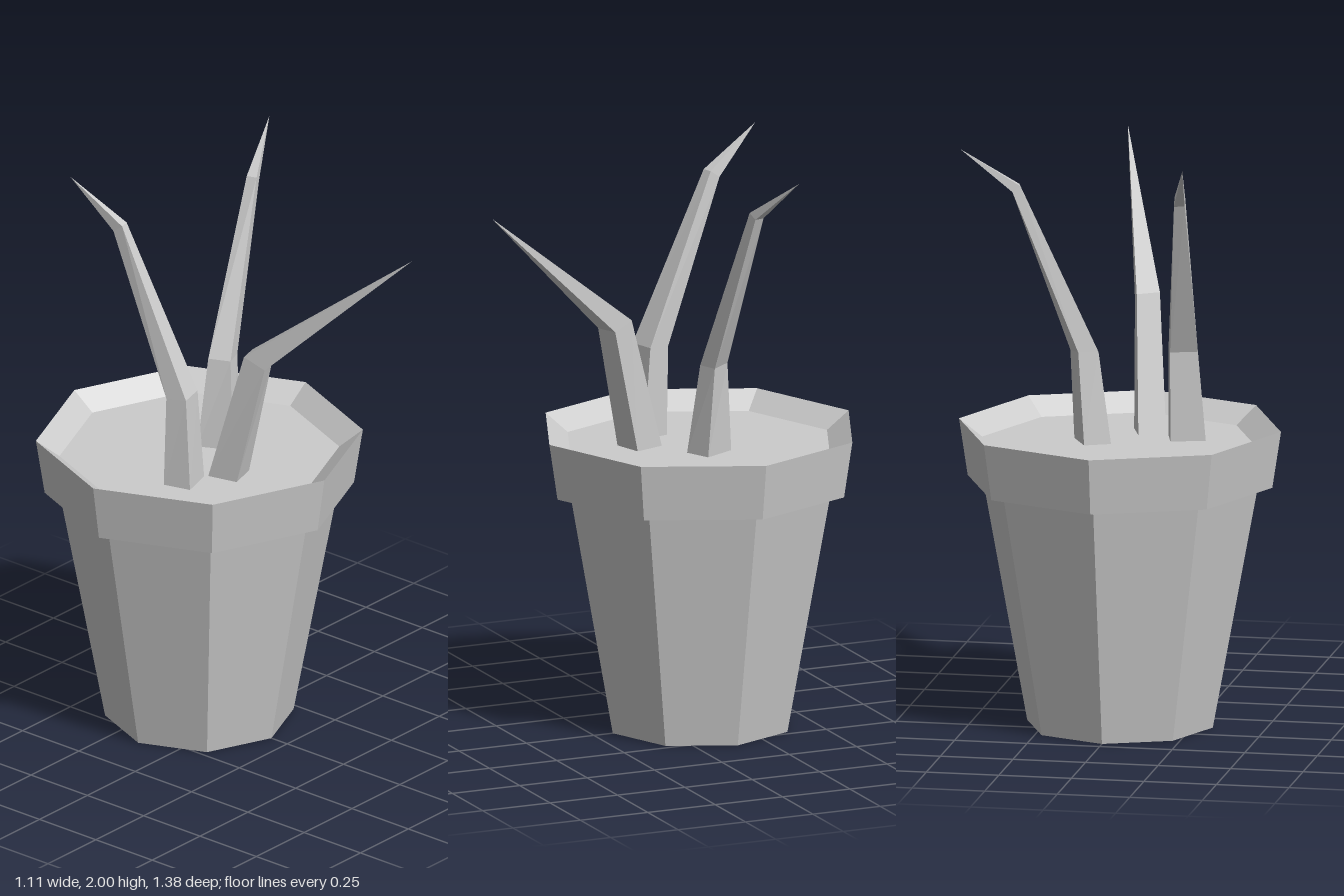
import * as THREE from 'three';

const SIDES = 8, POT_Z = -0.14, SOIL_Y = 0.975;

const material = () => new THREE.MeshStandardMaterial({
  color: 0xcccccc, flatShading: true, side: THREE.DoubleSide,
});

// Eight-sided shell turned from [radius, height] points
function turned(name, profile) {
  const points = profile.map(([r, y]) => new THREE.Vector2(r, y));
  const mesh = new THREE.Mesh(new THREE.LatheGeometry(points, SIDES), material());
  mesh.name = name;
  return mesh;
}

// Bent four-sided spike: rings of four corners (counter-clockwise from above), closed by a tip
function leaf(name, rings, tip) {
  const pos = [];
  const put = (...corners) => corners.forEach((c) => pos.push(...c));
  rings.forEach((ring, i) => {
    const next = rings[i + 1];
    for (let k = 0; k < 4; k++) {
      const a = ring[k], b = ring[(k + 1) % 4];
      if (next) put(a, b, next[(k + 1) % 4], a, next[(k + 1) % 4], next[k]);
      else put(a, b, tip);
    }
  });
  const geo = new THREE.BufferGeometry();
  geo.setAttribute('position', new THREE.Float32BufferAttribute(pos, 3));
  geo.computeVertexNormals();
  const mesh = new THREE.Mesh(geo, material());
  mesh.name = name;
  return mesh;
}

export function createModel() {
  const model = new THREE.Group();
  model.name = 'pottedPlant';

  // Pot: tapered wall open at the bottom, overhanging rim, soil inside
  const pot = new THREE.Group();
  pot.name = 'pot';
  pot.position.z = POT_Z;
  pot.add(
    turned('potWall', [[0.32, 0], [0.475, 0.84]]),
    turned('potRim', [[0.475, 0.84], [0.525, 0.84], [0.555, 1.035], [0.475, SOIL_Y]]),
  );
  const soil = new THREE.Mesh(new THREE.CircleGeometry(0.475, SIDES), material());
  soil.name = 'soil';
  soil.rotation.x = -Math.PI / 2;
  soil.position.y = SOIL_Y;
  pot.add(soil);
  model.add(pot);

  // Leaves: corners run back-left, front-left, front-right, back-right
  model.add(leaf('frontLeaf', [
    [[-0.13, SOIL_Y, 0.01], [-0.105, SOIL_Y, 0.115], [-0.005, SOIL_Y, 0.085], [-0.04, SOIL_Y, -0.02]],
    [[-0.085, 1.44, 0.13], [-0.065, 1.405, 0.205], [0.01, 1.405, 0.175], [-0.01, 1.435, 0.105]],
  ], [0.135, 1.89, 0.69]));

  model.add(leaf('leftLeaf', [
    [[0.025, SOIL_Y, -0.17], [0.08, SOIL_Y, -0.06], [0.165, SOIL_Y, -0.1], [0.11, SOIL_Y, -0.21]],
    [[0.07, 1.29, -0.16], [0.11, 1.285, -0.095], [0.175, 1.285, -0.12], [0.135, 1.29, -0.185]],
    [[0.33, 1.865, -0.21], [0.34, 1.865, -0.175], [0.365, 1.845, -0.185], [0.355, 1.845, -0.22]],
  ], [0.525, 2, -0.275]));

  model.add(leaf('rightLeaf', [
    [[-0.28, SOIL_Y, -0.06], [-0.255, SOIL_Y, 0.035], [-0.14, SOIL_Y, 0], [-0.165, SOIL_Y, -0.095]],
    [[-0.255, 1.285, -0.07], [-0.235, 1.29, 0], [-0.145, 1.29, -0.025], [-0.165, 1.285, -0.1]],
    [[-0.255, 1.84, -0.305], [-0.25, 1.865, -0.27], [-0.215, 1.865, -0.28], [-0.22, 1.84, -0.315]],
  ], [-0.28, 2, -0.475]));

  return model;
}
